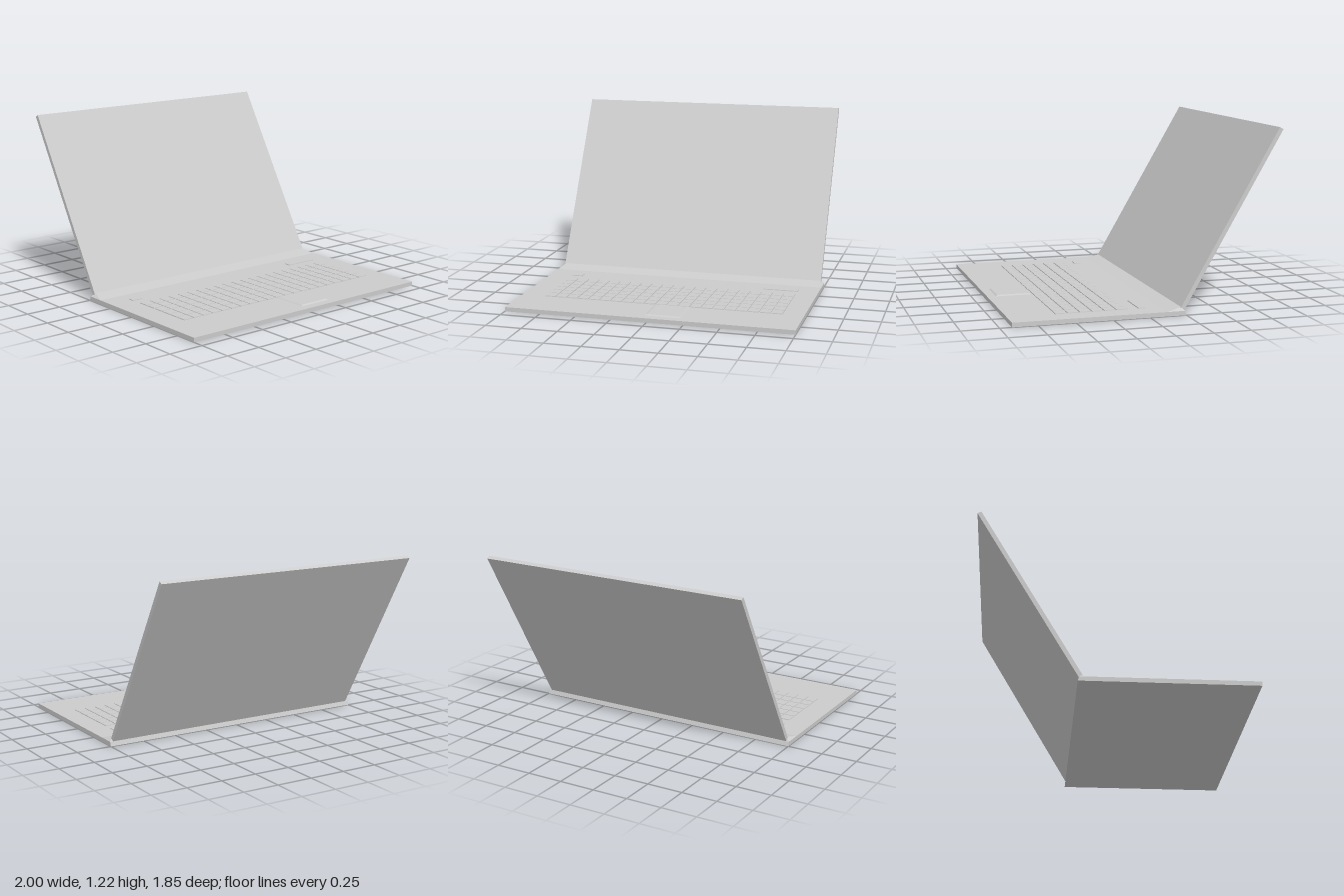
import * as THREE from 'three';

const material = new THREE.MeshStandardMaterial({ color: 0xcccccc, flatShading: true });
const DECK = 0.03; // height of the keyboard deck

function add(parent, name, geometry, x = 0, y = 0, z = 0) {
  const mesh = new THREE.Mesh(geometry, material);
  mesh.name = name;
  mesh.position.set(x, y, z);
  parent.add(mesh);
  return mesh;
}

// Extrude a [z, y] profile along x, centred on x = 0
function extrudeAcross(points, width) {
  const shape = new THREE.Shape(points.map(([z, y]) => new THREE.Vector2(z, y)));
  const geometry = new THREE.ExtrudeGeometry(shape, { depth: width, bevelEnabled: false });
  return geometry.translate(0, 0, -width / 2).rotateY(-Math.PI / 2);
}

// Low block standing on the deck, its top narrowed by an inset
function raisedPad(x0, x1, z0, z1, height, inset) {
  const w = x1 - x0, d = z1 - z0;
  const geometry = new THREE.BoxGeometry(w, height, d);
  const p = geometry.attributes.position;
  for (let i = 0; i < p.count; i++) {
    if (p.getY(i) > 0) {
      p.setX(i, p.getX(i) * (1 - 2 * inset / w));
      p.setZ(i, p.getZ(i) * (1 - 2 * inset / d));
    }
  }
  geometry.computeVertexNormals();
  return geometry.translate((x0 + x1) / 2, DECK + height / 2, (z0 + z1) / 2);
}

export function createModel() {
  const model = new THREE.Group();
  model.name = 'laptop';

  // Flat base slab
  add(model, 'base', extrudeAcross([[0.92, 0], [0.92, DECK], [-0.24, DECK], [-0.25, 0]], 2));

  // Ramp rising to the hinge, its crest drawn in at both ends
  const ramp = extrudeAcross([[-0.12, DECK], [-0.22, 0.052], [-0.24, DECK]], 2);
  const p = ramp.attributes.position;
  for (let i = 0; i < p.count; i++) {
    if (p.getY(i) > 0.04) p.setX(i, p.getX(i) * 0.97);
  }
  ramp.computeVertexNormals();
  add(model, 'hingeRamp', ramp);

  // Keyboard grid
  const keyboard = new THREE.Group();
  keyboard.name = 'keyboard';
  model.add(keyboard);
  const columns = 21, rows = 6, left = -0.83, back = 0.11;
  const pitchX = 0.0805, pitchZ = 0.083, gap = 0.007;
  for (let r = 0; r < rows; r++) {
    for (let c = 0; c < columns; c++) {
      const x = left + c * pitchX, z = back + r * pitchZ;
      add(keyboard, 'key', raisedPad(x, x + pitchX - gap, z, z + pitchZ - gap, 0.006, 0.001));
    }
  }

  // Buttons behind the keyboard
  add(model, 'powerButton', raisedPad(-0.835, -0.755, -0.015, 0.035, 0.006, 0.001));
  add(model, 'mediaBar', raisedPad(0.61, 0.855, -0.015, 0.035, 0.006, 0.001));

  // Touchpad
  add(model, 'touchpad', raisedPad(-0.027, 0.217, 0.606, 0.86, 0.008, 0.01));

  // Screen lid, leaning back about its lower front edge
  const length = 1.36, thickness = 0.029;
  const lid = new THREE.BoxGeometry(1.96, length, thickness);
  lid.translate(0, length / 2, -thickness / 2);
  const screen = add(model, 'screen', lid, 0, 0.045, -0.216);
  screen.rotation.x = -Math.atan2(0.685, 1.175);

  return model;
}
